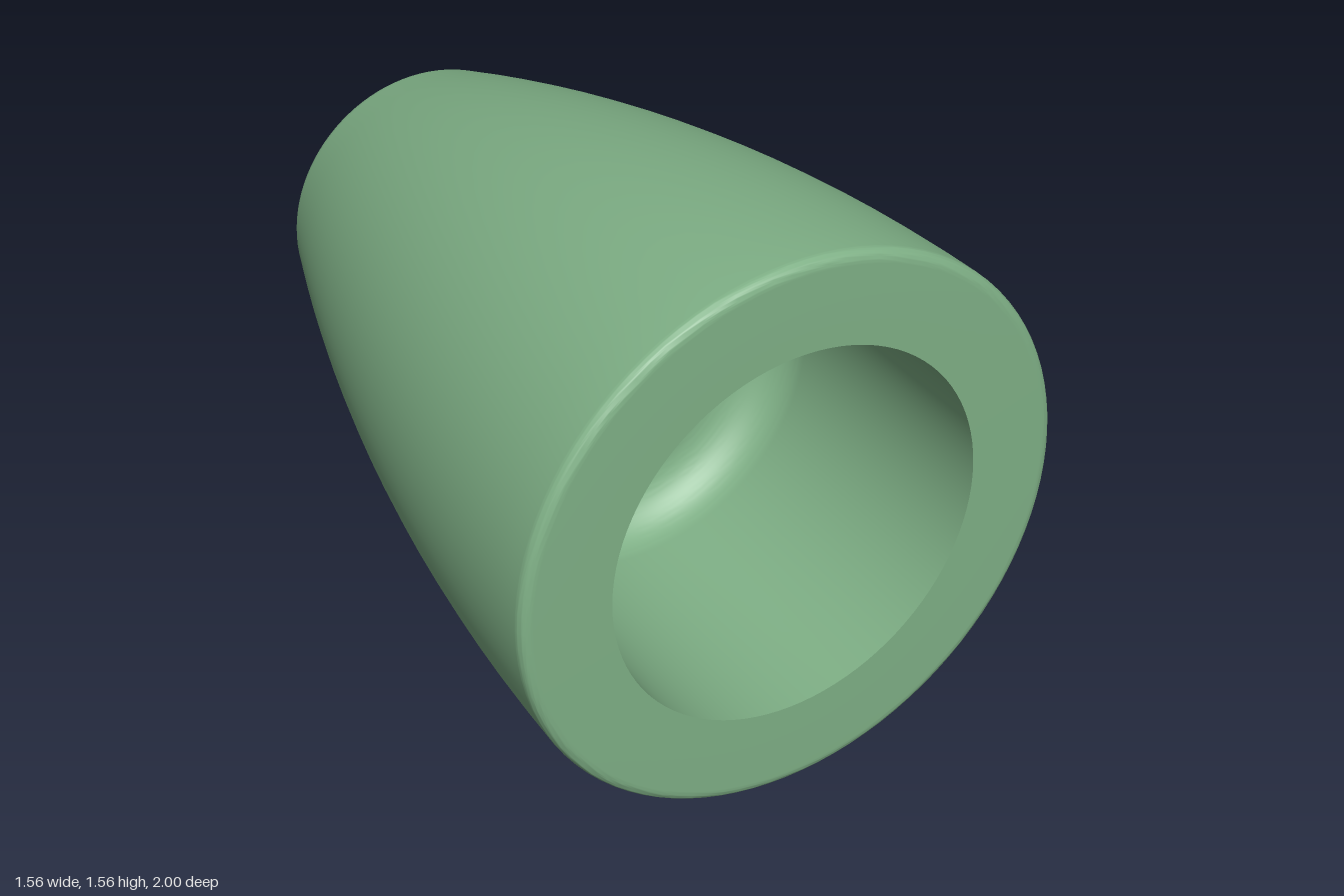
import * as THREE from 'three';
import { toCreasedNormals } from 'three/addons/utils/BufferGeometryUtils.js';

const SEGMENTS = 96;
const CENTER_Y = 0.78;

// Closed cross-section: x is the radius, y runs from the narrow back to the wide front
function sectionPoints() {
  const p = new THREE.Path();
  p.moveTo(0.245, -1);
  // back face, rounded rim, bulging outer wall
  p.lineTo(0.365, -1);
  p.quadraticCurveTo(0.408, -1, 0.422, -0.95);
  p.quadraticCurveTo(0.755, 0.02, 0.778, 0.965);
  // rounded front rim and front face
  p.quadraticCurveTo(0.78, 1, 0.745, 1);
  p.lineTo(0.53, 1);
  // wide front bore with a filleted floor
  p.lineTo(0.53, 0.25);
  p.absarc(0.38, 0.25, 0.15, 0, -Math.PI / 2, true);
  p.lineTo(0.24, 0.1);
  // narrow through hole with an inner groove
  p.lineTo(0.24, -0.54);
  p.lineTo(0.32, -0.54);
  p.lineTo(0.32, -0.69);
  p.lineTo(0.245, -0.69);
  p.lineTo(0.245, -1);
  return p.getPoints(16);
}

export function createModel() {
  const group = new THREE.Group();
  group.name = 'taperedSleeve';

  // Turned body, laid down so its axis follows z
  let geometry = new THREE.LatheGeometry(sectionPoints(), SEGMENTS);
  geometry.rotateX(Math.PI / 2);
  geometry = toCreasedNormals(geometry, Math.PI / 6);

  const material = new THREE.MeshStandardMaterial({ color: 0x7fb086 });
  const body = new THREE.Mesh(geometry, material);
  body.name = 'sleeveBody';
  body.position.y = CENTER_Y;
  group.add(body);

  return group;
}
